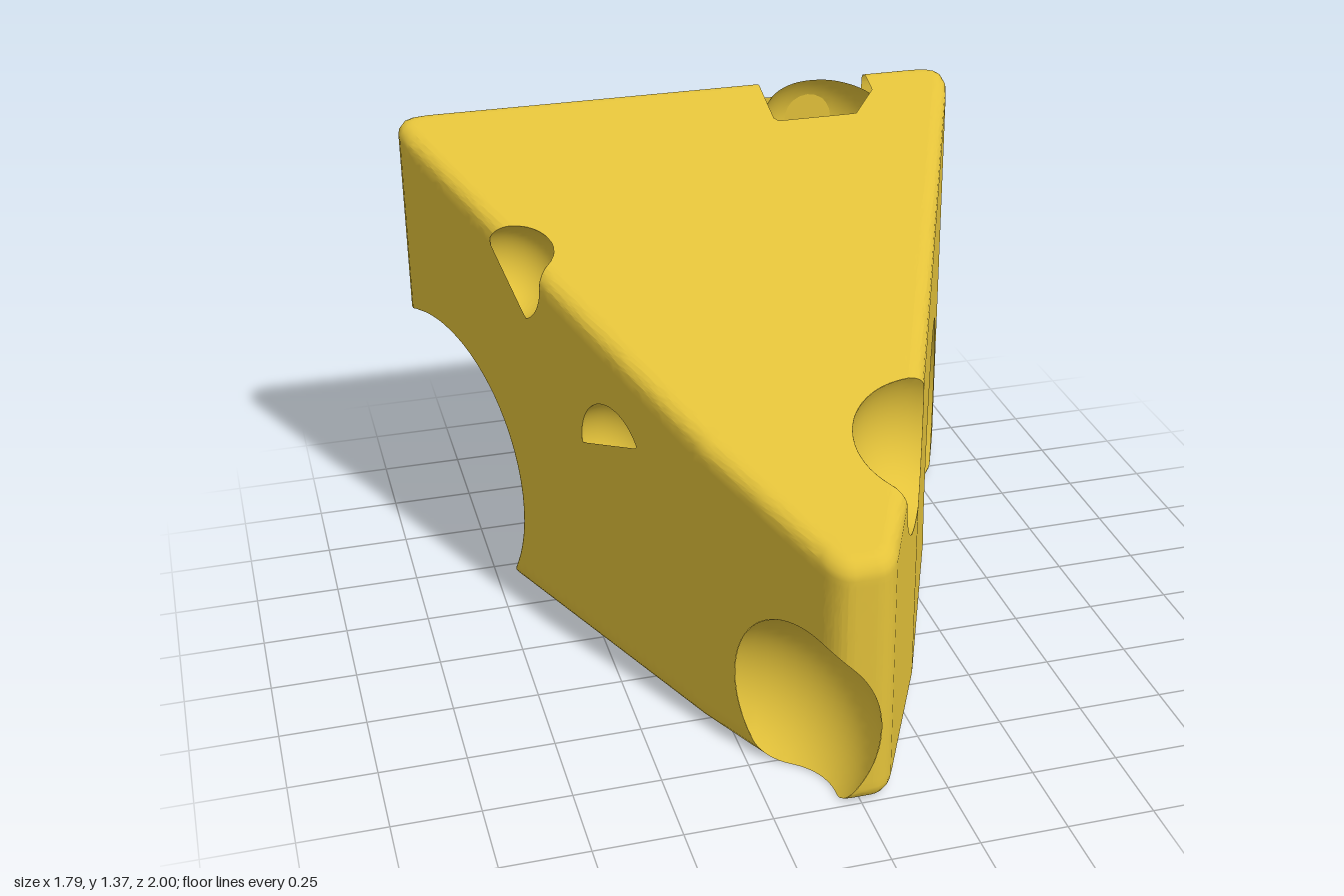
import * as THREE from 'three';
import { toCreasedNormals } from 'three/addons/utils/BufferGeometryUtils.js';

const BEVEL = 0.045;
const topAt = (z) => 1.07 - 0.315 * z; // sloping top

// Plan outline of the wedge, in x and z
function planOutline() {
  const s = new THREE.Shape();
  s.moveTo(0.8, -1);
  s.quadraticCurveTo(0.94, -1, 0.882, -0.88);
  s.lineTo(0.32, 0.5);
  s.lineTo(0.11, 0.93);
  s.quadraticCurveTo(0.08, 1, 0.03, 1);
  s.lineTo(-0.03, 1);
  s.quadraticCurveTo(-0.08, 1, -0.11, 0.93);
  s.lineTo(-0.32, 0.5);
  s.lineTo(-0.882, -0.88);
  s.quadraticCurveTo(-0.94, -1, -0.8, -1);
  s.closePath();
  return s;
}
const outline = planOutline().getPoints(5);

// Depth below the rounded wedge surface (positive inside)
function insideWedge(p) {
  let h = Infinity;
  outline.forEach((a, i) => {
    const b = outline[(i + 1) % outline.length];
    const ex = b.x - a.x, ez = b.y - a.y, len = Math.hypot(ex, ez);
    if (len > 1e-6) h = Math.min(h, (ex * (p.z - a.y) - ez * (p.x - a.x)) / len);
  });
  const v = Math.min(p.y, topAt(p.z) - p.y);
  return BEVEL - Math.hypot(Math.max(BEVEL - h, 0), Math.max(BEVEL - v, 0));
}

// Round holes; lid is positive where the skin stays closed over a hole
const holes = [
  { name: 'leftSideHole', c: [0.632, 0.305, -0.485], r: 0.383 },
  { name: 'backCornerHole', c: [-0.766, 0.285, -0.83], r: 0.49 },
  { name: 'frontCornerHole', c: [-0.24, 0.235, 0.93], r: 0.3 },
  { name: 'leftTopEdgeHole', c: [0.335, 0.83, 0.59], r: 0.245 },
  { name: 'rightTopEdgeHole', c: [-0.655, 1.09, -0.34], r: 0.14,
    lid: (p) => -0.725 + (1.19 - p.y) * 0.375 - p.x },
  { name: 'rightSideSmallHole', c: [-0.465, 0.69, 0.105], r: 0.15,
    lid: (p) => (p.x + 0.53) * 0.91 - p.y + 0.67 },
  { name: 'backTopNotch', c: [0.445, 1.235, -0.8], r: 0.215,
    skin: (p) => Math.max(
      Math.hypot(p.x - 0.45, Math.max(p.z + 0.8, 0)) - 0.18,
      0.775 * p.x + 0.632 * p.z + 0.073,
      1.315 - p.y) },
];
holes.forEach((h) => { h.centre = new THREE.Vector3(...h.c); });

// Positive where the wedge skin remains
const skinField = (p) => Math.min(...holes.map((h) => {
  if (h.skin) return h.skin(p);
  const d = p.distanceTo(h.centre) - h.r;
  return h.lid ? Math.max(d, h.lid(p)) : d;
}));

function triangles(geometry, flip = false) {
  const g = geometry.index ? geometry.toNonIndexed() : geometry;
  const pos = g.attributes.position, out = [];
  for (let i = 0; i < pos.count; i += 3) {
    const t = [0, 1, 2].map((k) => new THREE.Vector3().fromBufferAttribute(pos, i + k));
    out.push(flip ? t.reverse() : t);
  }
  return out;
}

// Halve the longest edge until every edge is short
function subdivide(list, limit) {
  const out = [], stack = [...list];
  while (stack.length) {
    const t = stack.pop();
    const len = t.map((v, i) => v.distanceTo(t[(i + 1) % 3]));
    const max = Math.max(...len);
    if (max <= limit) { out.push(t); continue; }
    const i = len.indexOf(max);
    const a = t[i], b = t[(i + 1) % 3], c = t[(i + 2) % 3];
    const m = a.clone().add(b).multiplyScalar(0.5);
    stack.push([a, m, c], [m, b, c]);
  }
  return out;
}

// Point on an edge where the field changes sign
function crossing(a, b, field) {
  const lo = a.clone(), hi = b.clone(), m = new THREE.Vector3();
  for (let i = 0; i < 14; i++) {
    m.lerpVectors(lo, hi, 0.5);
    (field(m) > 0 ? lo : hi).copy(m);
  }
  return m.clone();
}

// Keep the part of each triangle where the field is positive
function clip(list, field) {
  const out = [];
  for (const t of list) {
    const keep = t.map((p) => field(p) > 0);
    const poly = [];
    for (let i = 0; i < 3; i++) {
      const j = (i + 1) % 3;
      if (keep[i]) poly.push(t[i]);
      if (keep[i] !== keep[j]) {
        poly.push(keep[i] ? crossing(t[i], t[j], field) : crossing(t[j], t[i], field));
      }
    }
    for (let i = 2; i < poly.length; i++) out.push([poly[0], poly[i - 1], poly[i]]);
  }
  return out;
}

function toMesh(name, list, material) {
  const g = new THREE.BufferGeometry().setFromPoints(list.flat());
  const mesh = new THREE.Mesh(toCreasedNormals(g, 0.6), material);
  mesh.name = name;
  return mesh;
}

export function createModel() {
  const group = new THREE.Group();
  group.name = 'cheeseWedge';
  const material = new THREE.MeshStandardMaterial({ color: 0xe3c23a, side: THREE.DoubleSide });

  // Bevelled wedge with its upper half sheared to the sloping top
  const body = new THREE.ExtrudeGeometry(planOutline(), {
    depth: 1 - 2 * BEVEL, curveSegments: 5, bevelEnabled: true, bevelSegments: 4,
    bevelSize: BEVEL, bevelThickness: BEVEL, bevelOffset: -BEVEL,
  });
  body.rotateX(Math.PI / 2).translate(0, 1 - BEVEL, 0);
  const pos = body.attributes.position;
  for (let i = 0; i < pos.count; i++) {
    if (pos.getY(i) > 0.5) pos.setY(i, pos.getY(i) + topAt(pos.getZ(i)) - 1);
  }
  group.add(toMesh('wedgeSkin', clip(subdivide(triangles(body), 0.04), skinField), material));

  // Hollow walls of the holes, facing inward
  for (const h of holes) {
    const ball = new THREE.SphereGeometry(h.r, 48, 32).translate(...h.c);
    group.add(toMesh(h.name, clip(triangles(ball, true), insideWedge), material));
  }
  return group;
}
